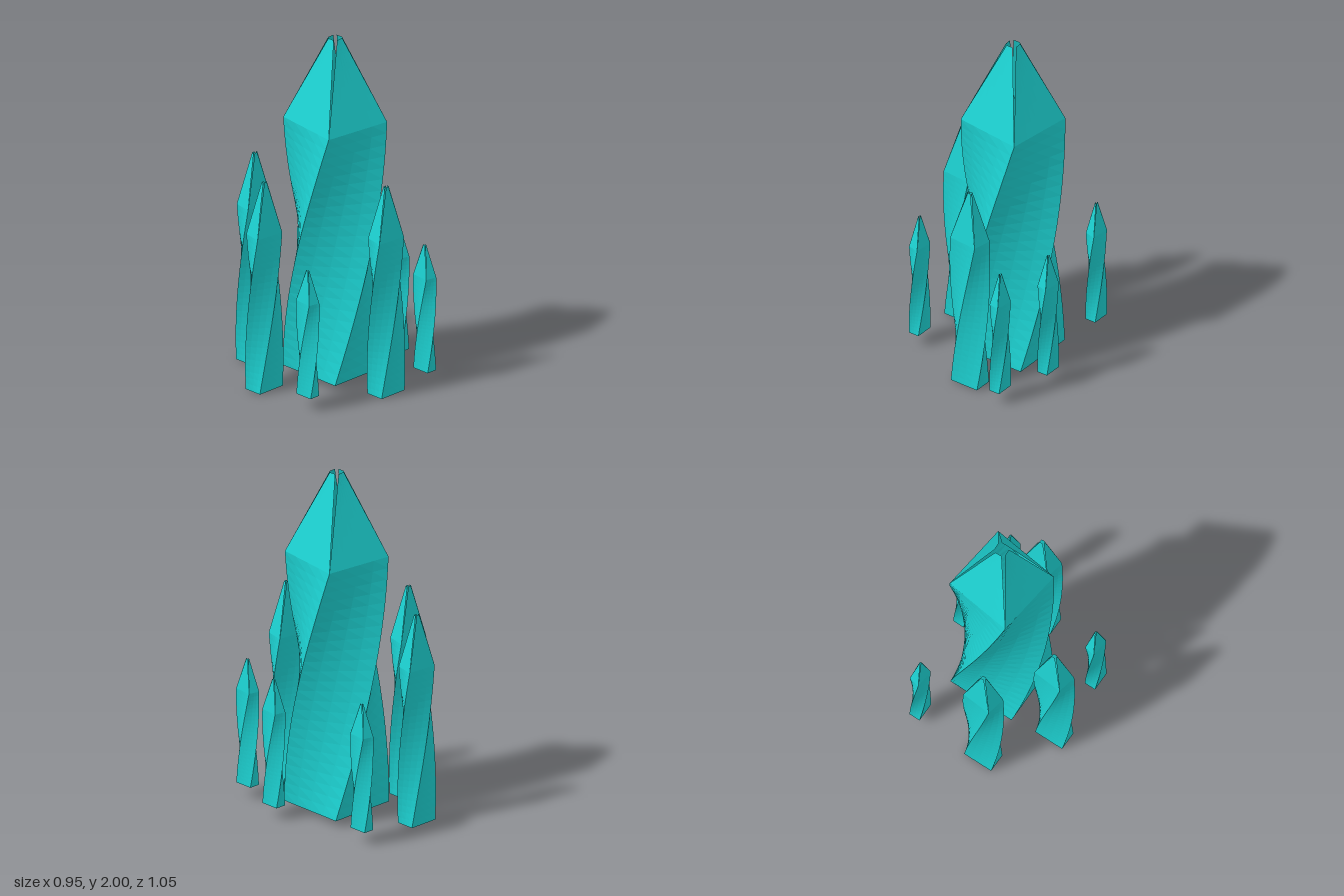
import * as THREE from 'three';
import { ParametricGeometry } from 'three/addons/geometries/ParametricGeometry.js';

const TWIST = THREE.MathUtils.degToRad(-83);
const material = new THREE.MeshStandardMaterial({
  color: 0x1cd0d0, flatShading: true, side: THREE.DoubleSide,
});

// Corner k of a unit square section, turned by the given angle
function corner(k, turn, radius = 1) {
  const a = Math.PI * 0.75 - k * Math.PI / 2 + turn;
  return new THREE.Vector3(Math.cos(a) * radius, 0, Math.sin(a) * radius);
}

// One hollow crystal: four twisted walls and four tip panels parted by slits
function crystal(name, x, z, rx, rz, y0, y1, y2) {
  const group = new THREE.Group();
  group.name = name;
  group.position.set(x, 0, z);
  const add = (part, nu, nv, fn) => {
    const geometry = new ParametricGeometry((u, v, p) => {
      fn(u, v, p);
      p.x *= rx;
      p.z *= rz;
    }, nu, nv);
    const mesh = new THREE.Mesh(geometry, material);
    mesh.name = part;
    group.add(mesh);
  };

  for (let k = 0; k < 4; k++) {
    // Twisted wall, open at the bottom
    add('wall', 4, 24, (u, v, p) => {
      p.lerpVectors(corner(k, TWIST * v), corner(k + 1, TWIST * v), u);
      p.y = y0 + (y1 - y0) * v;
    });

    // Tip panel: full width at the base, narrower than its side at the top
    const a = corner(k, TWIST), b = corner(k + 1, TWIST);
    const topTurn = TWIST - 0.16;
    const c = corner(k, topTurn, 0.165), d = corner(k + 1, topTurn, 0.165);
    const low = new THREE.Vector3(), high = new THREE.Vector3();
    add('tipPanel', 8, 6, (u, v, p) => {
      low.lerpVectors(a, b, u);
      high.lerpVectors(c, d, 0.2 + 0.6 * u);
      p.lerpVectors(low, high, v);
      p.y = y1 + (y2 - y1) * v;
    });
  }
  return group;
}

export function createModel() {
  const model = new THREE.Group();
  model.name = 'crystalCluster';

  // Tall central crystal
  model.add(crystal('mainCrystal', 0.08, -0.005, 0.287, 0.287, 0.037, 1.51, 2));

  // Medium crystals, flattened front to back
  for (const [x, z] of [[-0.1, -0.45], [-0.35, -0.125], [0.08, 0.39]])
    model.add(crystal('mediumCrystal', x, z, 0.126, 0.078, 0, 0.925, 1.23));

  // Small crystals, flattened side to side
  for (const [x, z] of [[0.318, -0.45], [0.425, 0.135], [-0.377, 0.24], [0.327, 0.443]])
    model.add(crystal('smallCrystal', x, z, 0.046, 0.078, 0.077, 0.635, 0.82));

  return model;
}
